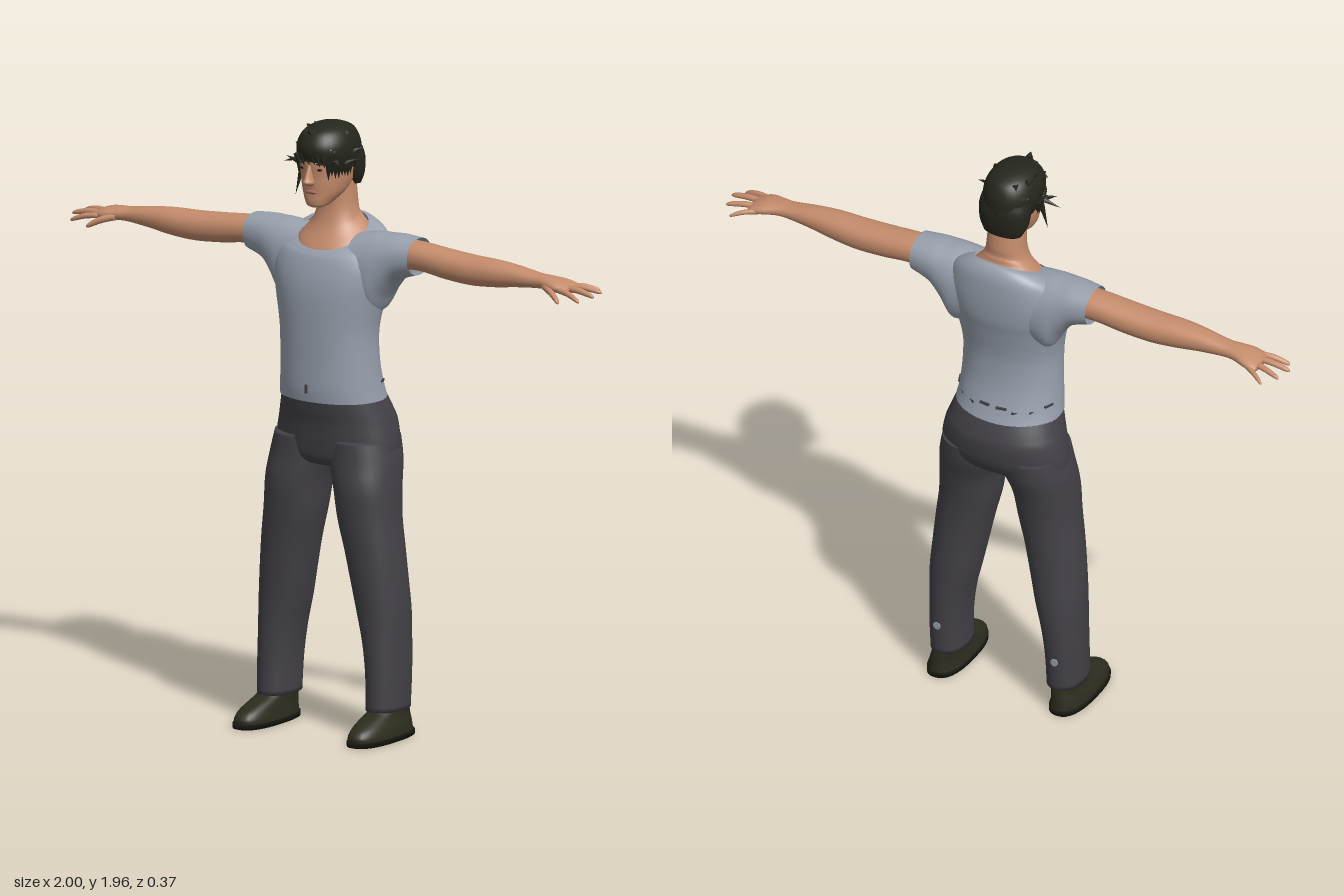
import * as THREE from 'three';
import { mergeGeometries } from 'three/addons/utils/BufferGeometryUtils.js';

const mat = (name, color, side = THREE.FrontSide) => {
  const m = new THREE.MeshStandardMaterial({ color, side });
  m.name = name;
  return m;
};

// Smooth loft through [t, centre, radius, zBack, zFront, tilt] sections.
// Vertical by default; with arm = 1 or -1 it runs sideways along that x direction.
function loft(sections, { arm = 0, n = 2.2, segs = 32, steps = 5, cap = true } = {}) {
  const rows = [];
  const at = (i) => sections[Math.max(0, Math.min(sections.length - 1, i))];
  for (let i = 0; i < sections.length - 1; i++) {
    for (let s = 0; s < steps + (i === sections.length - 2 ? 1 : 0); s++) {
      const u = s / steps;
      rows.push([0, 1, 2, 3, 4, 5].map((k) => {
        const [a, b, c, d] = [-1, 0, 1, 2].map((o) => at(i + o)[k] ?? 0);
        return b + 0.5 * u * (c - a + u * (2 * a - 5 * b + 4 * c - d + u * (3 * (b - c) + d - a)));
      }));
    }
  }
  const pos = [], idx = [];
  const put = (t, c, r, z) => (arm ? pos.push(arm * t, c - arm * r, z) : pos.push(c + r, t, z));
  const pw = (v) => Math.sign(v) * Math.abs(v) ** (2 / n);
  for (const [t, c, r, zb, zf, tilt] of rows) {
    for (let j = 0; j < segs; j++) {
      const a = (j / segs) * Math.PI * 2, dz = pw(Math.cos(a)) * (zf - zb) / 2;
      put(t - tilt * dz, c, Math.max(r, 0.001) * pw(Math.sin(a)), (zb + zf) / 2 + dz);
    }
  }
  for (let i = 0; i < rows.length - 1; i++) {
    for (let j = 0; j < segs; j++) {
      const k = (j + 1) % segs, a = i * segs + j, b = i * segs + k;
      idx.push(a, b, a + segs, b, b + segs, a + segs);
    }
  }
  if (cap) {
    const first = rows[0], last = rows[rows.length - 1], top = (rows.length - 1) * segs, c = rows.length * segs;
    for (const e of [first, last]) put(e[0], e[1], 0, (e[3] + e[4]) / 2);
    for (let j = 0; j < segs; j++) {
      const k = (j + 1) % segs;
      idx.push(c, k, j, c + 1, top + j, top + k);
    }
  }
  const g = new THREE.BufferGeometry();
  g.setAttribute('position', new THREE.Float32BufferAttribute(pos, 3));
  g.setIndex(idx);
  g.computeVertexNormals();
  return g;
}

// Pointed lock of hair from one point to another
function strand(from, to, r) {
  const a = new THREE.Vector3(...from), d = new THREE.Vector3(...to).sub(a), len = d.length();
  const g = new THREE.ConeGeometry(r, len, 5);
  g.translate(0, len / 2, 0);
  g.applyQuaternion(new THREE.Quaternion().setFromUnitVectors(new THREE.Vector3(0, 1, 0), d.normalize()));
  return g.translate(a.x, a.y, a.z);
}

export function createModel() {
  const model = new THREE.Group();
  model.name = 'standingMan';
  const skin = mat('skin', 0xc58c6c), lip = mat('lips', 0xa96a55);
  const shirt = mat('shirt grey', 0x98a0ad, THREE.DoubleSide);
  const cloth = mat('trouser charcoal', 0x434147, THREE.DoubleSide);
  const hair = mat('hair', 0x25261c), leather = mat('shoe leather', 0x2c2c1e);
  const sole = mat('sole', 0x17170f), dark = mat('eye dark', 0x211a16);
  const add = (name, geo, m, parent = model) => {
    const mesh = new THREE.Mesh(geo, m);
    mesh.name = name;
    parent.add(mesh);
    return mesh;
  };
  const blob = (name, m, x, y, z, sx, sy, sz) => {
    const b = add(name, new THREE.SphereGeometry(1, 16, 10), m);
    b.position.set(x, y, z);
    b.scale.set(sx, sy, sz);
    return b;
  };

  // Shirt body with a scooped neckline
  add('shirtBody', loft([
    [1.075, 0, .176, -.158, .12], [1.12, 0, .17, -.142, .125], [1.2, 0, .165, -.122, .126],
    [1.3, 0, .166, -.118, .128], [1.4, 0, .185, -.135, .128], [1.46, 0, .2, -.148, .122],
    [1.52, 0, .205, -.153, .11, .1], [1.575, 0, .185, -.148, .098, .3],
    [1.6, 0, .145, -.13, .088, .45], [1.607, 0, .113, -.112, .08, .5],
  ], { segs: 48, cap: false }), shirt);

  // Neck, head and nose
  add('neck', loft([
    [1.585, 0, .122, -.118, .085, .5], [1.607, 0, .106, -.107, .074, .5], [1.635, 0, .084, -.104, .048, .42],
    [1.66, 0, .071, -.1, .03, .28], [1.7, 0, .063, -.1, .02, .1], [1.78, 0, .06, -.09, .02],
  ]), skin);
  add('head', loft([
    [1.697, 0, .018, .055, .092], [1.704, 0, .033, .03, .105], [1.722, 0, .047, -.01, .109],
    [1.745, 0, .061, -.05, .109], [1.775, 0, .07, -.08, .112], [1.805, 0, .075, -.09, .113],
    [1.85, 0, .078, -.095, .118], [1.9, 0, .074, -.085, .108], [1.945, 0, .035, -.04, .05],
  ]), skin);
  add('nose', loft([
    [1.771, 0, .01, .09, .122], [1.783, 0, .017, .09, .143], [1.8, 0, .011, .09, .136], [1.84, 0, .007, .09, .119],
  ], { segs: 16 }), skin);
  blob('lips', lip, 0, 1.75, .107, .023, .007, .007);

  // Hair: crown, back and loose locks
  add('hairCrown', loft([
    [1.825, 0, .081, -.1, .119, -.22], [1.86, 0, .089, -.109, .126, -.15], [1.9, 0, .087, -.105, .121, -.05],
    [1.935, 0, .07, -.085, .1], [1.953, 0, .045, -.05, .065], [1.96, 0, .018, -.015, .03],
  ]), hair);
  add('hairBack', loft([
    [1.755, 0, .066, -.1, -.03], [1.79, 0, .082, -.108, -.005], [1.84, 0, .087, -.11, .01], [1.875, 0, .08, -.1, .01],
  ]), hair);
  let seed = 7;
  const rnd = () => (seed = (seed * 16807) % 2147483647) / 2147483647;
  const locks = [];
  for (const s of [1, -1]) {
    for (let k = 0; k < 8; k++) { // temple locks
      const a = 0.75 + k * 0.12, x = s * .082 * Math.sin(a), z = .01 + .109 * Math.cos(a);
      locks.push(strand([x, 1.85, z], [x * 1.02, 1.79 + rnd() * .015, z + .003], .014));
    }
  }
  for (let k = 0; k < 44; k++) { // tousled crown
    const a = rnd() * Math.PI * 2, y = 1.84 + rnd() * .1, w = y > 1.9 ? .8 : 1;
    const x = .083 * w * Math.sin(a), z = .008 + .108 * w * Math.cos(a);
    locks.push(strand([x, y, z], [x * 1.1 + .02 * (rnd() - .5), y + .03 * (rnd() - .4), z * 1.08 + .02 * (rnd() - .5)], .014));
  }
  for (let k = 0; k < 6; k++) { // fringe
    const x = -.05 + k * .02;
    locks.push(strand([x, 1.87, .114], [x + .015, 1.835 + rnd() * .012, .122], .011));
  }
  for (const [p, q] of [ // stray wisps
    [[-.08, 1.84, .04], [-.145, 1.82, .05]], [[-.08, 1.83, .06], [-.12, 1.845, .07]],
    [[-.075, 1.81, .05], [-.092, 1.72, .06]], [[.08, 1.84, .04], [.118, 1.855, .02]], [[.08, 1.87, 0], [.115, 1.885, -.02]],
  ]) locks.push(strand(p, q, .01));
  add('hairLocks', mergeGeometries(locks), hair);

  // Trouser seat
  add('trouserSeat', loft([
    [.862, 0, .17, -.11, .06], [.885, 0, .208, -.15, .08], [.93, 0, .214, -.176, .088],
    [1.0, 0, .2, -.184, .096], [1.04, 0, .187, -.174, .105], [1.088, 0, .171, -.152, .113],
  ], { segs: 48 }), cloth);

  for (const s of [1, -1]) {
    const side = s > 0 ? 'left' : 'right';
    blob(side + 'Eye', dark, s * .03, 1.825, .106, .012, .005, .005);
    blob(side + 'Brow', hair, s * .031, 1.843, .107, .019, .004, .007).rotation.z = s * .12;

    // Sleeve, arm and hand
    add(side + 'Sleeve', loft([
      [.1, 1.5, .11, -.125, .07], [.165, 1.49, .13, -.127, .068], [.205, 1.52, .1, -.12, .058],
      [.25, 1.547, .074, -.112, .045], [.315, 1.557, .059, -.103, .032],
    ], { arm: s, cap: false }), shirt);
    add(side + 'Arm', loft([
      [.22, 1.558, .05, -.092, .02], [.33, 1.56, .045, -.09, .022], [.43, 1.55, .047, -.088, .025],
      [.53, 1.544, .047, -.084, .026], [.62, 1.546, .043, -.076, .024], [.7, 1.548, .034, -.067, .016],
      [.78, 1.546, .024, -.06, .008], [.82, 1.545, .022, -.064, .013], [.86, 1.541, .021, -.077, .022],
      [.89, 1.536, .017, -.082, .018], [.91, 1.533, .01, -.078, .01],
    ], { arm: s }), skin);
    const hand = new THREE.Group();
    hand.name = side + 'Fingers';
    model.add(hand);
    // start x, y, z then tip x, y, z, radius
    for (const [name, x0, y0, z0, x1, y1, z1, r] of [
      ['thumb', .82, 1.538, .002, .905, 1.503, .045, .012],
      ['indexFinger', .88, 1.535, .01, .975, 1.512, .032, .0095],
      ['middleFinger', .88, 1.537, -.018, 1.0, 1.523, -.014, .01],
      ['ringFinger', .88, 1.536, -.046, .99, 1.525, -.07, .0095],
      ['littleFinger', .87, 1.534, -.066, .953, 1.52, -.115, .0085],
    ]) {
      const rings = [[0, 1], [.45, 1], [.8, .85], [.95, .6], [1, .2]].map(([u, k]) => {
        const z = z0 + (z1 - z0) * u, w = r * k;
        return [x0 + (x1 - x0) * u, y0 + (y1 - y0) * u + .006 * Math.sin(u * Math.PI), w, z - w * 1.1, z + w * 1.1];
      });
      add(name, loft(rings, { arm: s, n: 2, segs: 12, steps: 3 }), skin, hand);
    }

    // Trouser leg
    add(side + 'TrouserLeg', loft([
      [.09, .208, .058, -.105, .069], [.2, .207, .06, -.113, .068], [.3, .2, .066, -.118, .068],
      [.4, .188, .078, -.12, .07], [.5, .174, .085, -.117, .077], [.6, .159, .091, -.116, .084],
      [.7, .141, .097, -.12, .092], [.8, .13, .101, -.135, .098], [.88, .113, .109, -.157, .089],
      [.95, .105, .1, -.165, .085],
    ].map(([y, x, ...r]) => [y, s * x, ...r])), cloth);
    const patch = add(side + 'CalfPatch', new THREE.CylinderGeometry(.013, .013, .004, 10), shirt);
    patch.rotation.x = Math.PI / 2;
    patch.position.set(s * .21, .2, -.114);

    // Shoe
    add(side + 'Shoe', loft([
      [.014, .218, .057, -.11, .186], [.03, .218, .056, -.108, .186], [.05, .217, .052, -.106, .168],
      [.07, .214, .047, -.104, .125], [.09, .212, .045, -.1, .07], [.11, .21, .043, -.095, .045],
    ].map(([y, x, ...r]) => [y, s * x, ...r]), { n: 2.5 }), leather);
    add(side + 'Sole', loft([
      [0, s * .219, .061, -.115, .19], [.016, s * .219, .061, -.115, .19],
    ], { n: 2.5, steps: 1 }), sole);
  }

  // Waistband slivers showing through the shirt
  for (const a of [-1.2, -.85, -.5, -.2, .15, .5, .85, 1.2, 3.17]) {
    const bit = add('waistbandSliver', new THREE.BoxGeometry(a > 2 ? .008 : .034, a > 2 ? .028 : .007, .008), cloth);
    bit.position.set(.17 * Math.sin(a), 1.125 + .008 * Math.cos(a * 5), -.008 - .133 * Math.cos(a));
    bit.rotation.y = -a;
  }
  return model;
}
